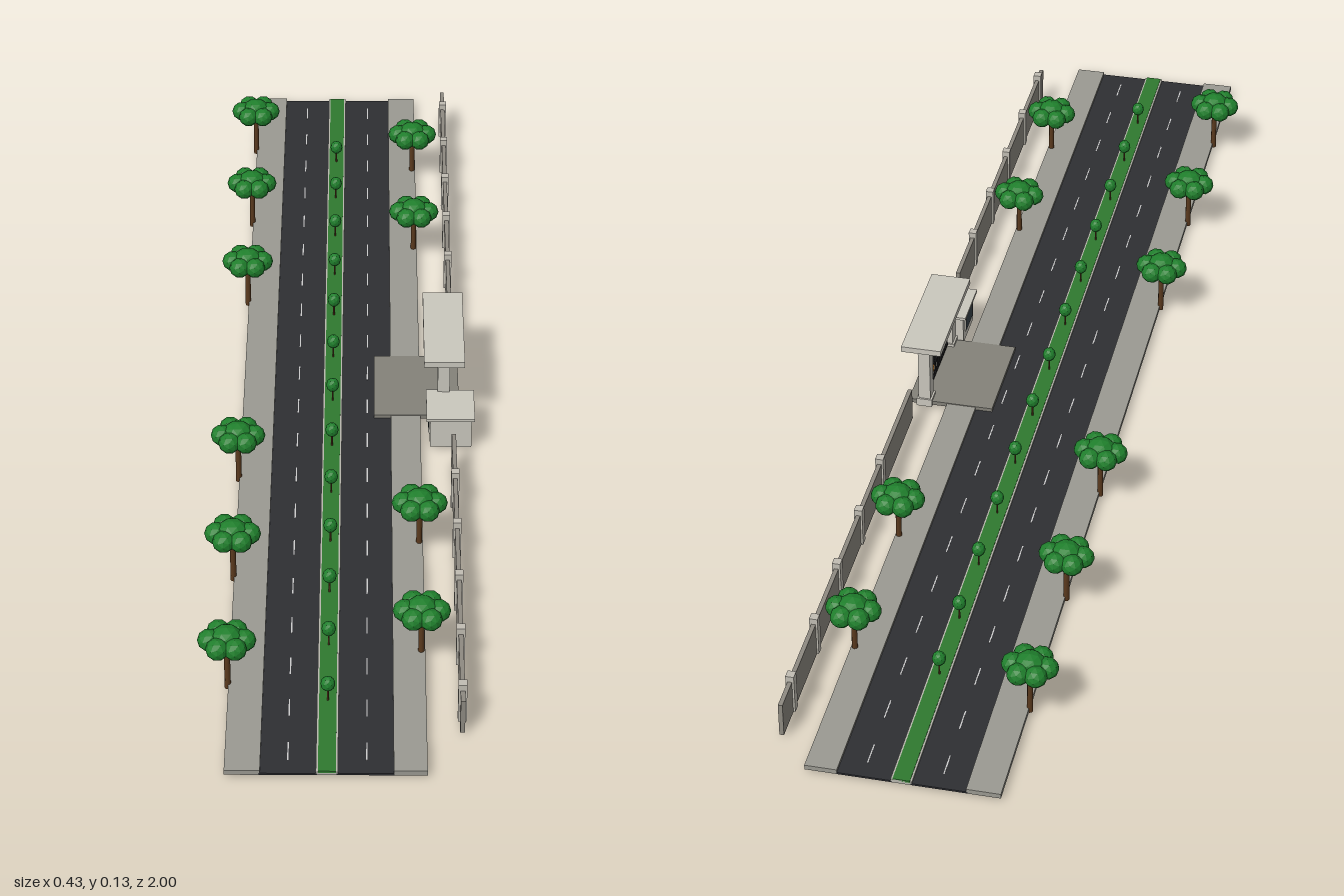
import * as THREE from 'three';

const mat = (color, flatShading = false) => new THREE.MeshStandardMaterial({ color, flatShading });
const M = {
  asphalt: mat(0x2e2f33), paving: mat(0x9b9a92), kerb: mat(0xb8b7ae), grass: mat(0x2f7a2f),
  white: mat(0xe8e8e8), trunk: mat(0x5b3a1e), leaf: mat(0x1f7f2c, true), wall: mat(0x8f8b82),
  post: mat(0xc2beb4), stone: mat(0xcbc8be), iron: mat(0x1c1c1e), glass: mat(0x39434a),
  gold: mat(0xc07a2a), drive: mat(0x84827a),
};

// Box given by its minimum and maximum on each axis
function box(parent, name, material, [x0, x1], [y0, y1], [z0, z1]) {
  const mesh = new THREE.Mesh(new THREE.BoxGeometry(x1 - x0, y1 - y0, z1 - z0), material);
  mesh.position.set((x0 + x1) / 2, (y0 + y1) / 2, (z0 + z1) / 2);
  mesh.name = name;
  parent.add(mesh);
  return mesh;
}

function group(parent, name) {
  const g = new THREE.Group();
  g.name = name;
  parent.add(g);
  return g;
}

const lobeGeo = new THREE.IcosahedronGeometry(1, 1);
function lobe(parent, name, x, y, z, rx, ry) {
  const mesh = new THREE.Mesh(lobeGeo, M.leaf);
  mesh.position.set(x, y, z);
  mesh.scale.set(rx, ry, rx);
  mesh.name = name;
  parent.add(mesh);
}

function trunk(parent, radius, y0, y1) {
  const mesh = new THREE.Mesh(new THREE.CylinderGeometry(radius * 0.9, radius, y1 - y0, 8), M.trunk);
  mesh.position.y = (y0 + y1) / 2;
  mesh.name = 'trunk';
  parent.add(mesh);
}

// Street tree with a flat crown: one central lobe and a ring of six
function tree(parent, x, z, base) {
  const g = group(parent, 'streetTree');
  g.position.set(x, base, z);
  trunk(g, 0.0048, 0, 0.08);
  lobe(g, 'crownCentre', 0, 0.094, 0, 0.024, 0.018);
  for (let i = 0; i < 6; i++) {
    const a = (i * Math.PI) / 3;
    lobe(g, 'crownLobe', Math.cos(a) * 0.026, 0.089, Math.sin(a) * 0.026, 0.018, 0.017);
  }
}

export function createModel() {
  const model = new THREE.Group();
  model.name = 'streetWithGate';
  const full = [-1, 1];

  // Carriageways, pavements and median
  const street = group(model, 'street');
  box(street, 'leftCarriageway', M.asphalt, [-0.12, -0.035], [0, 0.003], full);
  box(street, 'rightCarriageway', M.asphalt, [-0.007, 0.077], [0, 0.003], full);
  box(street, 'leftPavement', M.paving, [-0.17, -0.118], [0, 0.008], full);
  box(street, 'rightPavement', M.paving, [0.076, 0.125], [0, 0.008], full);
  box(street, 'medianKerb', M.kerb, [-0.037, -0.005], [0, 0.006], full);
  box(street, 'medianGrass', M.grass, [-0.034, -0.008], [0.004, 0.0072], full);

  // Dashed lane lines
  for (const x of [-0.078, 0.037]) {
    for (let i = 0; i < 20; i++) {
      const z = -0.95 + i * 0.1;
      box(street, 'laneDash', M.white, [x - 0.001, x + 0.001], [0.0025, 0.0034], [z - 0.02, z + 0.02]);
    }
  }

  // Street trees
  const trees = group(model, 'trees');
  for (const z of [-0.805, -0.54, -0.272, 0.262, 0.53, 0.798]) tree(trees, -0.171, z, 0);
  for (const z of [-0.728, -0.45, 0.44, 0.718]) tree(trees, 0.119, z, -0.005);

  // Small clipped trees along the median
  for (let i = 0; i < 13; i++) {
    const g = group(trees, 'medianTree');
    g.position.set(-0.021, 0, -0.76 + i * 0.133);
    trunk(g, 0.0015, 0.006, 0.032);
    lobe(g, 'bush', 0, 0.038, 0, 0.011, 0.0125);
  }

  // Boundary walls with posts
  const walls = group(model, 'boundaryWalls');
  for (const [z0, z1, first] of [[0.212, 0.902, 0.33], [-0.935, -0.135, -0.875]]) {
    box(walls, 'wall', M.wall, [0.174, 0.181], [0, 0.058], [z0, z1]);
    for (let i = 0; i < 5; i++) {
      const z = first + i * 0.135;
      box(walls, 'wallPost', M.post, [0.171, 0.184], [0, 0.068], [z - 0.007, z + 0.007]);
    }
  }

  // Driveway and gate portal
  const gate = group(model, 'gatehouse');
  box(gate, 'driveway', M.drive, [0.048, 0.19], [0.002, 0.0092], [-0.095, 0.085]);
  for (const z of [-0.085, 0.077]) {
    box(gate, 'pillar', M.stone, [0.153, 0.173], [0, 0.117], [z - 0.011, z + 0.011]);
    box(gate, 'pillarFoot', M.stone, [0.15, 0.176], [0, 0.014], [z - 0.014, z + 0.014]);
    box(gate, 'pillarHead', M.stone, [0.15, 0.176], [0.108, 0.117], [z - 0.014, z + 0.014]);
  }
  box(gate, 'portalRoof', M.stone, [0.13, 0.197], [0.116, 0.126], [-0.112, 0.104]);
  box(gate, 'crossBeam', M.stone, [0.156, 0.17], [0.092, 0.107], [-0.076, 0.068]);
  box(gate, 'signFrame', M.iron, [0.152, 0.157], [0.091, 0.108], [-0.067, 0.06]);
  box(gate, 'signPanel', M.post, [0.149, 0.153], [0.093, 0.106], [-0.065, 0.058]);

  // Two barred gate leaves
  for (const [z0, z1] of [[-0.074, -0.005], [-0.003, 0.066]]) {
    const leaf = group(gate, 'gateLeaf');
    for (const y of [0.012, 0.035, 0.06]) {
      box(leaf, 'gateRail', M.iron, [0.161, 0.165], [y, y + 0.003], [z0, z1]);
    }
    for (let i = 0; i <= 6; i++) {
      const z = z0 + 0.001 + ((z1 - z0 - 0.002) * i) / 6;
      box(leaf, 'gateBar', M.iron, [0.162, 0.164], [0.01, 0.064], [z - 0.001, z + 0.001]);
    }
    const mid = (z0 + z1) / 2;
    box(leaf, 'gateOrnament', M.gold, [0.1605, 0.1655], [0.032, 0.041], [mid - 0.004, mid + 0.004]);
  }

  // Guard house
  const house = group(model, 'guardHouse');
  box(house, 'body', M.stone, [0.14, 0.208], [0, 0.053], [0.09, 0.164]);
  box(house, 'roof', M.stone, [0.134, 0.213], [0.053, 0.058], [0.082, 0.17]);
  box(house, 'windowFrame', M.post, [0.1385, 0.142], [0.016, 0.046], [0.103, 0.151]);
  box(house, 'window', M.glass, [0.1375, 0.142], [0.018, 0.044], [0.105, 0.149]);
  return model;
}
